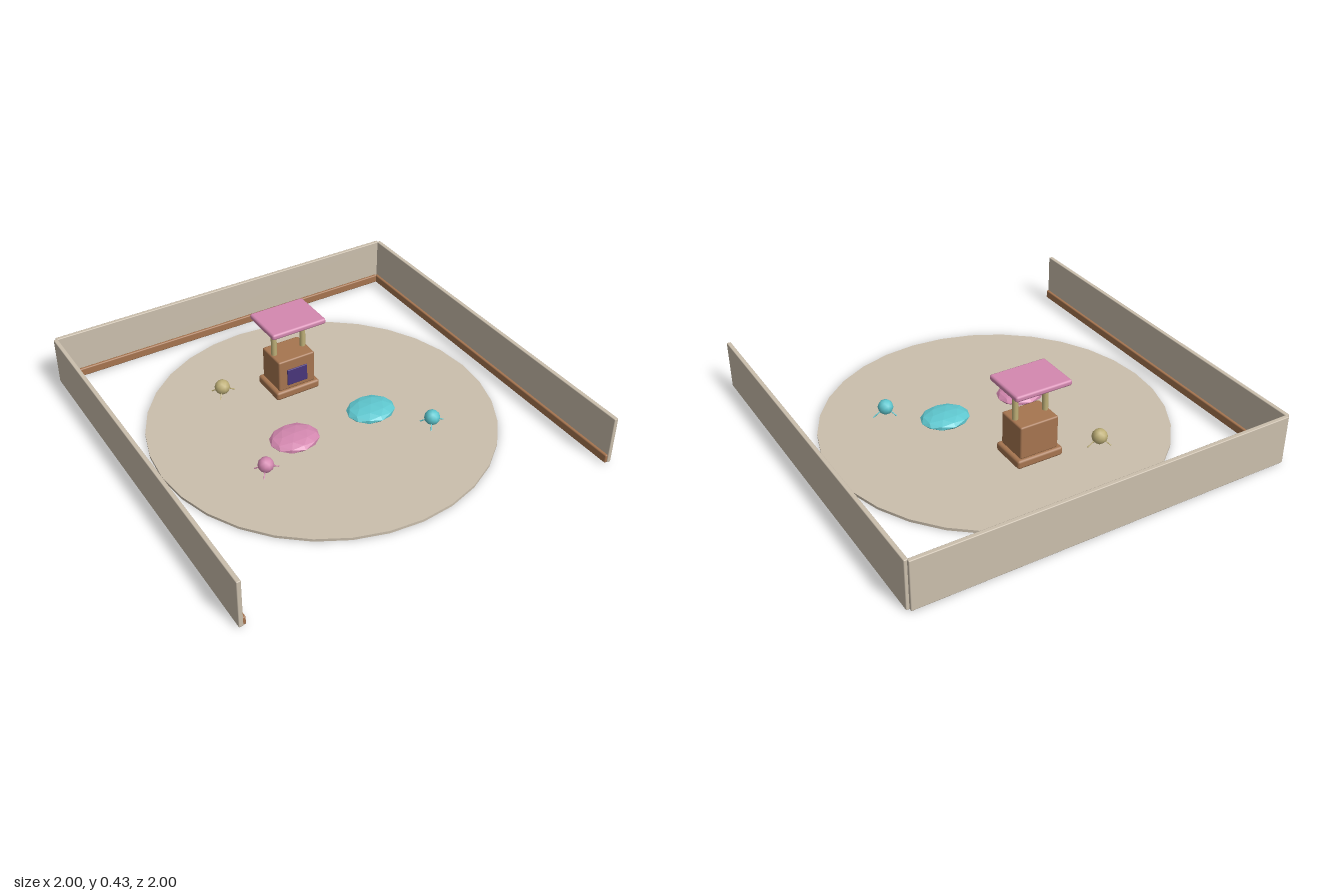
import * as THREE from 'three';
import { RoundedBoxGeometry } from 'three/addons/geometries/RoundedBoxGeometry.js';

const mat = (name, color) => {
  const m = new THREE.MeshStandardMaterial({ color });
  m.name = name;
  return m;
};

export function createModel() {
  const root = new THREE.Group();
  const cream = mat('cream', 0xcbbfad);
  const brown = mat('woodBrown', 0xa67550);
  const gold = mat('paleGold', 0xbfb078);
  const pink = mat('pink', 0xd488b0);
  const cyan = mat('cyan', 0x5fc8d0);
  const purple = mat('screenPurple', 0x48367a);

  const add = (name, geo, m, x, y, z, parent = root) => {
    const mesh = new THREE.Mesh(geo, m);
    mesh.name = name;
    mesh.position.set(x, y, z);
    parent.add(mesh);
    return mesh;
  };
  // box with chamfered edges, given by size
  const block = (w, h, d, r) => new RoundedBoxGeometry(w, h, d, 1, r);

  // round floor
  add('floor', new THREE.CylinderGeometry(0.875, 0.875, 0.014, 32), cream, 0, 0.007, 0);

  // three low walls with skirting, open at the front
  add('backWall', block(1.97, 0.257, 0.022, 0.004), cream, 0, 0.1335, -0.989);
  add('backSkirting', block(1.94, 0.045, 0.018, 0.006), brown, 0, 0.028, -0.971);
  for (const s of [1, -1]) {
    const side = s > 0 ? 'left' : 'right';
    add(side + 'Wall', block(0.022, 0.257, 1.985, 0.004), cream, s * 0.989, 0.1335, 0.0075);
    add(side + 'Skirting', block(0.018, 0.045, 1.97, 0.006), brown, s * 0.973, 0.028, 0.0125);
  }

  // booth with screen, posts and canopy
  const booth = new THREE.Group();
  booth.name = 'booth';
  booth.position.z = -0.325;
  root.add(booth);
  add('boothBase', block(0.25, 0.046, 0.2, 0.012), brown, 0, 0.037, 0, booth);
  add('boothBody', block(0.208, 0.175, 0.17, 0.008), brown, 0, 0.145, 0, booth);
  add('screen', block(0.115, 0.092, 0.009, 0.003), purple, 0, 0.13, 0.087, booth);
  for (const s of [1, -1]) {
    add('post', new THREE.CylinderGeometry(0.015, 0.015, 0.19, 12), gold, s * 0.083, 0.315, 0, booth);
  }
  add('canopy', block(0.304, 0.03, 0.24, 0.011), pink, 0, 0.418, 0, booth);

  // faceted floor cushions
  for (const [name, m, x] of [['pinkCushion', pink, -0.22], ['cyanCushion', cyan, 0.22]]) {
    const geo = new THREE.IcosahedronGeometry(1, 1).scale(0.128, 0.032, 0.108);
    geo.computeVertexNormals();
    add(name, geo, m, x, 0.046, 0.108);
  }

  // small balls, each standing on three thin splayed legs
  const up = new THREE.Vector3(0, 1, 0);
  for (const [name, m, x, z] of [
    ['pinkBall', pink, -0.44, 0.22],
    ['cyanBall', cyan, 0.437, 0.33],
    ['goldBall', gold, -0.33, -0.435],
  ]) {
    const ball = new THREE.Group();
    ball.name = name;
    ball.position.set(x, 0.055, z);
    root.add(ball);
    add('ballBody', new THREE.IcosahedronGeometry(0.04, 1), m, 0, 0, 0, ball);
    for (const a of [0, 2.25, -2.25]) {
      const len = a === 0 ? 0.07 : 0.06;
      const foot = new THREE.Vector3(Math.cos(a) * len, -0.041, Math.sin(a) * len);
      const leg = add('leg', new THREE.CylinderGeometry(0.003, 0.003, foot.length(), 6), m,
        foot.x / 2, foot.y / 2, foot.z / 2, ball);
      leg.quaternion.setFromUnitVectors(up, foot.clone().normalize());
    }
  }
  return root;
}
